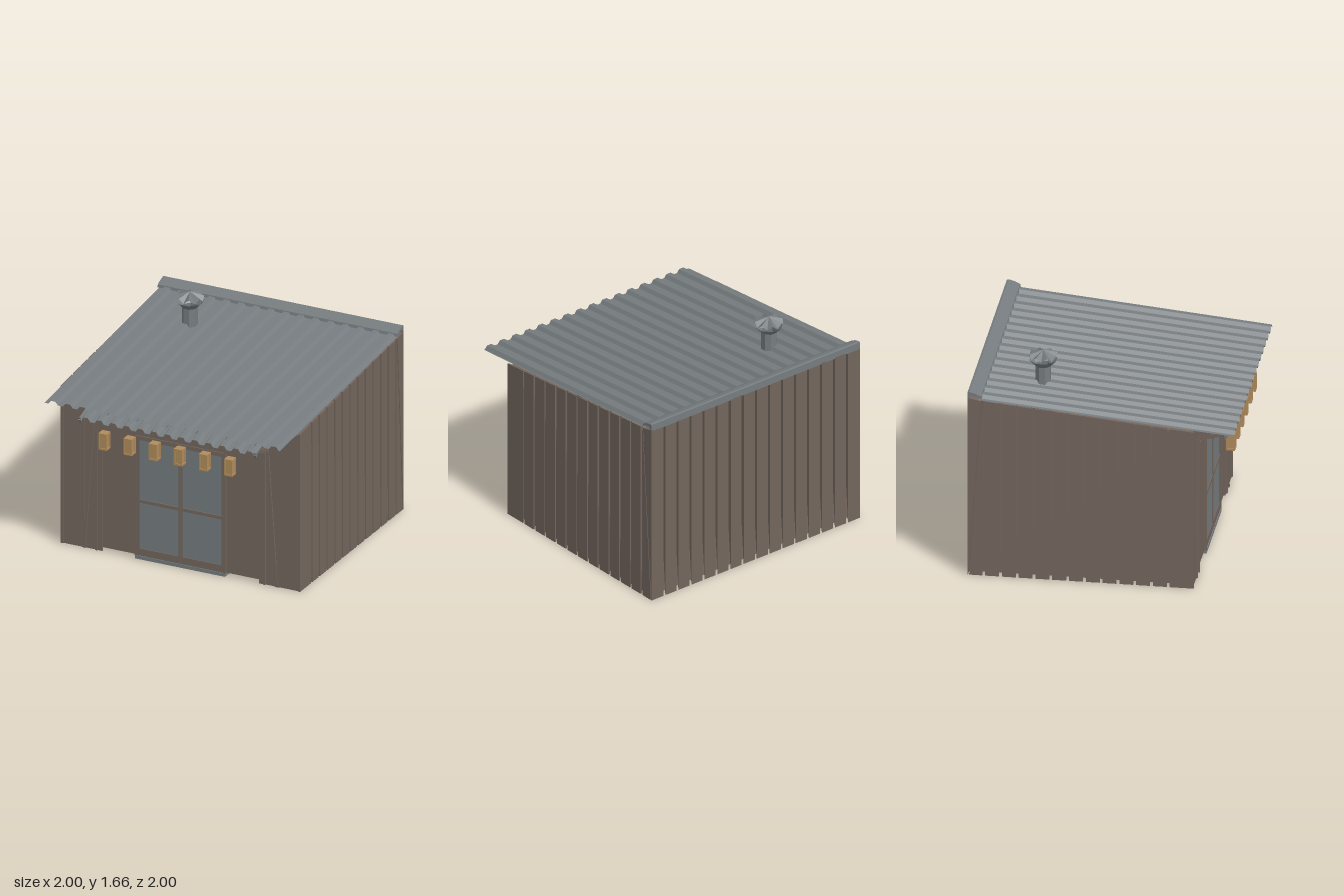
import * as THREE from 'three';
import { ConvexGeometry } from 'three/addons/geometries/ConvexGeometry.js';

const mat = (name, color, extra = {}) =>
  Object.assign(new THREE.MeshStandardMaterial({ color, flatShading: true, ...extra }), { name });

export function createModel() {
  const root = new THREE.Group();
  root.name = 'shed';
  const wood = mat('brownWood', 0x73665d);
  const metal = mat('greyMetal', 0x767c7f, { side: THREE.DoubleSide });
  const tan = mat('tanLantern', 0xb18c5c);

  const add = (name, geo, material, parent = root) => {
    const m = new THREE.Mesh(geo, material);
    m.name = name;
    parent.add(m);
    return m;
  };
  // Box given by its limits on each axis
  const box = (name, x0, x1, y0, y1, z0, z1, material = wood, parent = root) => {
    const m = add(name, new THREE.BoxGeometry(Math.abs(x1 - x0), y1 - y0, z1 - z0), material, parent);
    m.position.set((x0 + x1) / 2, (y0 + y1) / 2, (z0 + z1) / 2);
    return m;
  };
  // Prism with a [z, y] outline, running from x0 to x1
  const prism = (name, pts, x0, x1, material = wood) => {
    const shape = new THREE.Shape(pts.map(([z, y]) => new THREE.Vector2(z, y)));
    const geo = new THREE.ExtrudeGeometry(shape, { depth: x1 - x0, bevelEnabled: false });
    geo.rotateY(-Math.PI / 2).translate(x1, 0, 0);
    return add(name, geo, material);
  };
  // Corrugated sheet between two edges {z, y, half}
  const corrugated = (name, front, back, waves, height) => {
    const profile = [[0, 0], [0.25, 0], [0.42, 1], [0.75, 1], [0.92, 0]];
    const pts = [];
    for (let i = 0; i < waves; i++) profile.forEach(([t, h]) => pts.push([(i + t) / waves, h]));
    pts.push([1, 0]);
    const pos = [], index = [];
    pts.forEach(([t, h], i) => {
      for (const e of [front, back]) pos.push((t * 2 - 1) * e.half, e.y + h * height, e.z);
      if (i) index.push(2 * i - 2, 2 * i, 2 * i - 1, 2 * i, 2 * i + 1, 2 * i - 1);
    });
    const geo = new THREE.BufferGeometry();
    geo.setAttribute('position', new THREE.Float32BufferAttribute(pos, 3));
    geo.setIndex(index);
    const flat = geo.toNonIndexed();
    flat.computeVertexNormals();
    return add(name, flat, metal);
  };
  const wallTop = (z) => 1.28 + (0.7 - z) * 0.0943;

  // Inner shell, pulled in at the top of the back
  const corners = [];
  for (const s of [-1, 1]) {
    corners.push([s * 0.99, 0.03, 0.685], [s * 0.99, 1.265, 0.685],
      [s * 0.99, 0.03, -0.98], [s * 0.93, 1.415, -0.885]);
  }
  add('shell', new ConvexGeometry(corners.map((c) => new THREE.Vector3(...c))), wood);

  // Side planks with narrow gaps
  for (const s of [-1, 1]) {
    const x0 = s > 0 ? 0.985 : -0.998, x1 = x0 + 0.013;
    let z = 0.7;
    for (let k = 0; k < 12; k++) {
      const end = 0.52 - k * 0.1262;
      prism('sidePlank', [[z, 0], [z, wallTop(z)], [end, wallTop(end)], [end, 0]], x0, x1);
      z = end - 0.022;
    }
    prism('sideEndPlank', [[z, 0], [z, wallTop(z)], [-0.893, 1.42], [-0.988, 0]], x0, x1);
  }

  // Back planks, thicker towards the top
  const backOutline = [[-1, 0], [-0.997, 0], [-0.9, 1.43], [-1, 1.45]];
  for (let i = 0; i < 16; i++) {
    const c = -0.9375 + i * 0.125;
    prism('backPlank', backOutline, i ? c - 0.0525 : -1, i < 15 ? c + 0.0525 : 1);
  }

  // Front boards, posts and leaning braces
  for (const s of [-1, 1]) {
    box('cornerBoard', s * 0.98, s * 0.998, 0, 1.275, 0.68, 0.7);
    box('frontBoard', s * 0.82, s * 0.98, 0, 1.265, 0.68, 0.692);
    box('frontBoard', s * 0.71, s * 0.8, 0, 1.265, 0.68, 0.692);
    box('frontPost', s * 0.8, s * 0.82, 0, 1.26, 0.68, 0.698);
    box('frontPost', s * 0.69, s * 0.71, 0, 1.1, 0.68, 0.704);
    box('frontBoard', s * 0.655, s * 0.69, 0, 1.1, 0.68, 0.695);
    box('frontPanel', s * 0.38, s * 0.655, 0.03, 1.02, 0.68, 0.69);
    const brace = box('leaningBrace', -0.01, 0.01, 0, 1.13, 0.69, 0.704);
    brace.position.x = s * 0.762;
    brace.rotation.z = s * 0.07;
  }
  box('upperFrontPanel', -0.71, 0.71, 1.0, 1.265, 0.68, 0.69);
  box('lintel', -0.71, 0.71, 1.01, 1.07, 0.68, 0.71);

  // Double glazed door
  const door = new THREE.Group();
  door.name = 'door';
  root.add(door);
  box('sill', -0.375, 0.375, 0, 0.028, 0.6, 0.705, metal, door);
  for (const s of [-1, 1]) {
    box('glass', s * 0.015, s * 0.345, 0.085, 0.97, 0.685, 0.692, metal, door);
    box('doorJamb', s * 0.368, s * 0.38, 0.028, 1.01, 0.68, 0.706, wood, door);
    box('outerStile', s * 0.342, s * 0.368, 0.028, 1.0, 0.68, 0.7, wood, door);
    box('innerStile', s * 0.001, s * 0.016, 0.028, 1.0, 0.68, 0.7, wood, door);
    box('bottomRail', s * 0.01, s * 0.36, 0.028, 0.085, 0.68, 0.699, wood, door);
    box('topRail', s * 0.01, s * 0.36, 0.968, 1.0, 0.68, 0.699, wood, door);
    box('middleRail', s * 0.01, s * 0.36, 0.46, 0.485, 0.68, 0.702, wood, door);
  }

  // Main roof and back ridge cap
  corrugated('roof', { z: 1, y: 1.262, half: 0.982 }, { z: -0.92, y: 1.437, half: 0.995 }, 16, 0.026);
  prism('ridgeCap', [[-0.895, 1.445], [-0.9, 1.468], [-0.94, 1.488], [-0.985, 1.5], [-1, 1.497],
    [-1, 1.44], [-0.985, 1.44], [-0.975, 1.47], [-0.93, 1.465]], -1, 1, metal);

  // Awning over the door
  corrugated('awning', { z: 0.93, y: 1.145, half: 0.74 }, { z: 0.69, y: 1.218, half: 0.74 }, 13, 0.028);
  box('awningBeam', -0.74, 0.74, 1.122, 1.15, 0.79, 0.82);
  box('wallBeam', -0.72, 0.72, 1.09, 1.115, 0.69, 0.73);
  for (const s of [-1, 1]) {
    prism('awningBracket', [[0.69, 1.09], [0.69, 1.215], [0.91, 1.15]], s * 0.72 - 0.012, s * 0.72 + 0.012);
    prism('awningEndTile', [[0.9, 1.11], [0.89, 1.155], [0.93, 1.165]], s * 0.73 - 0.01, s * 0.73 + 0.01, metal);
  }

  // Row of hanging lanterns
  for (let i = 0; i < 6; i++) {
    const lantern = new THREE.Group();
    lantern.name = 'lantern';
    lantern.position.set(-0.525 + i * 0.2095, 0.945, 0.912);
    root.add(lantern);
    box('lanternBody', -0.027, 0.027, 0.01, 0.125, -0.027, 0.027, tan, lantern);
    box('lanternBase', -0.034, 0.034, 0, 0.014, -0.034, 0.034, tan, lantern);
    box('lanternTop', -0.034, 0.034, 0.118, 0.133, -0.034, 0.034, tan, lantern);
    for (const x of [-0.029, 0.029]) for (const z of [-0.029, 0.029]) {
      box('lanternPost', x - 0.005, x + 0.005, 0.01, 0.12, z - 0.005, z + 0.005, tan, lantern);
    }
  }

  // Flue pipe with flared collar and folded cap
  const flue = new THREE.Group();
  flue.name = 'flue';
  flue.position.set(-0.53, 0, -0.5);
  root.add(flue);
  const tube = (name, rTop, rBottom, y0, y1) => {
    const m = add(name, new THREE.CylinderGeometry(rTop, rBottom, y1 - y0, 8, 1, true), metal, flue);
    m.position.y = (y0 + y1) / 2;
    m.rotation.y = Math.PI / 8;
  };
  tube('fluePipe', 0.06, 0.06, 1.38, 1.545);
  tube('flueCollar', 0.108, 0.06, 1.54, 1.59);
  const cap = new THREE.ConeGeometry(0.108, 0.06, 16, 1, true);
  const p = cap.attributes.position;
  for (let i = 0; i < p.count; i++) {
    if (p.getY(i) < 0 && (i % 17) % 2) p.setY(i, p.getY(i) + 0.03);
  }
  cap.computeVertexNormals();
  add('flueCap', cap, metal, flue).position.y = 1.635;

  return root;
}
